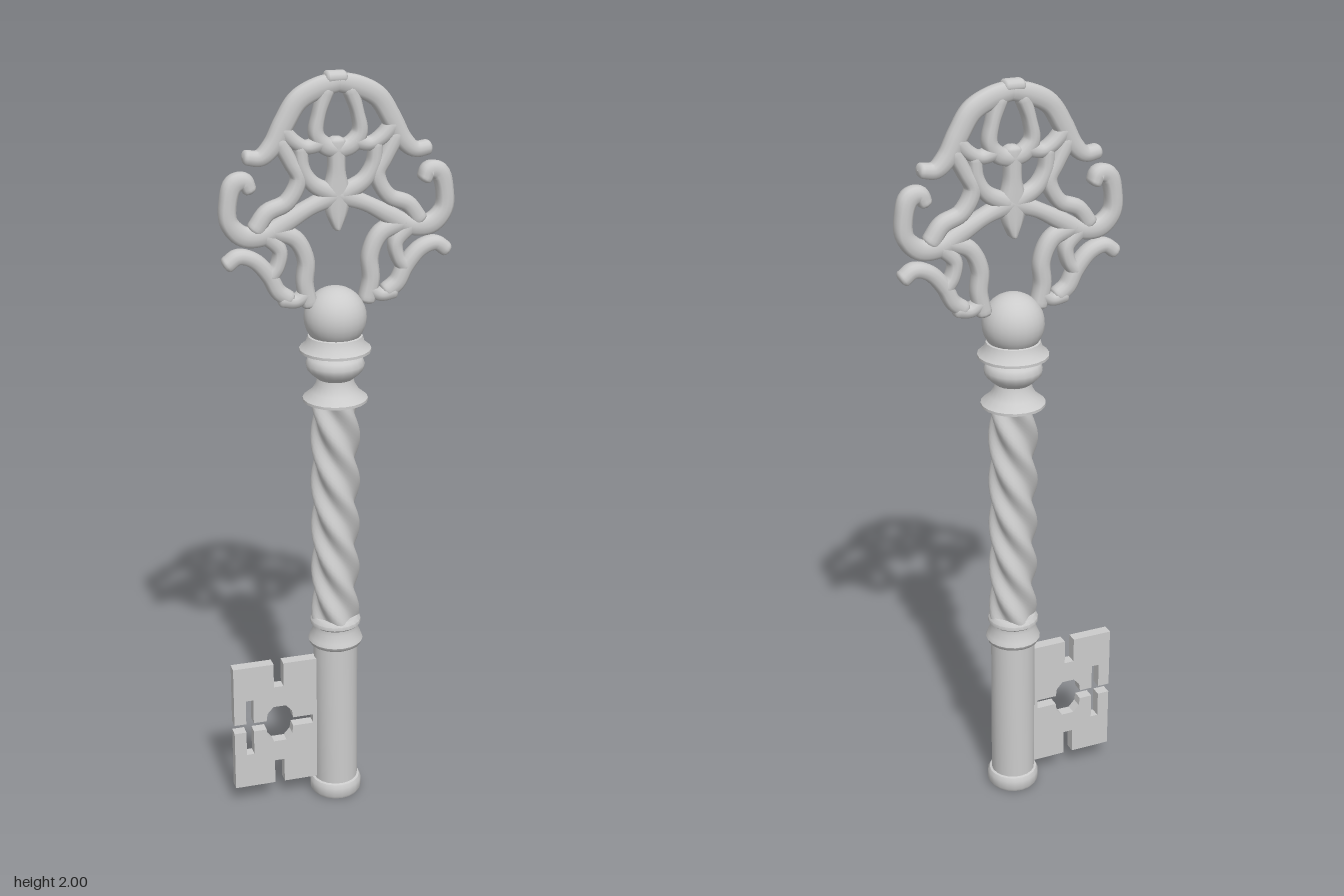
import * as THREE from 'three';
import { toCreasedNormals } from 'three/addons/utils/BufferGeometryUtils.js';

const material = new THREE.MeshStandardMaterial({ color: 0xcccccc, side: THREE.DoubleSide });
const AXIS = -0.01; // x of the shaft
const V2 = (x, y) => new THREE.Vector2(x, y);

function part(name, geometry, x = 0, y = 0, z = 0) {
  const m = new THREE.Mesh(geometry, material);
  m.name = name;
  m.position.set(x, y, z);
  return m;
}

function turned(name, profile) {
  const g = new THREE.LatheGeometry(profile.map(([r, y]) => V2(r, y)), 20);
  return part(name, toCreasedNormals(g, 0.7), AXIS);
}

// Builds a grid surface from rings of points
function loft(rings) {
  const n = rings[0].length, pos = [], idx = [];
  rings.forEach(r => r.forEach(p => pos.push(...p)));
  for (let i = 0; i < rings.length - 1; i++) {
    for (let j = 0; j < n; j++) {
      const a = i * n + j, b = i * n + (j + 1) % n;
      idx.push(a, b, a + n, b, b + n, a + n);
    }
  }
  const g = new THREE.BufferGeometry();
  g.setAttribute('position', new THREE.Float32BufferAttribute(pos, 3));
  g.setIndex(idx);
  g.computeVertexNormals();
  return g;
}

// Flat-backed scroll strand: points are [sideways, height, half width] in hundredths
const HALF_DEPTH = 0.0235;
function strand(points, side) {
  const curve = new THREE.CatmullRomCurve3(points.map(([x, y, w]) =>
    new THREE.Vector3(-0.003 + side * x / 100, y / 100, w / 100)));
  const steps = points.length * 5, rings = [];
  const ring = (p, t, k, push) => {
    const len = Math.hypot(t.x, t.y) || 1, tx = t.x / len, ty = t.y / len, out = [];
    for (let j = 0; j < 12; j++) {
      const a = j / 12 * Math.PI * 2, c = Math.cos(a), s = Math.sin(a);
      const u = Math.sign(c) * Math.abs(c) ** 0.8 * p.z * k;
      const v = Math.sign(s) * Math.abs(s) ** 0.7 * HALF_DEPTH * Math.sqrt(k);
      out.push([p.x - ty * u + tx * push, p.y + tx * u + ty * push, v]);
    }
    rings.push(out);
  };
  const ends = [[0.01, 0.5], [0.5, 0.43], [0.85, 0.25]];
  const p0 = curve.getPoint(0), t0 = curve.getTangent(0);
  const p1 = curve.getPoint(1), t1 = curve.getTangent(1);
  ends.forEach(([k, d]) => ring(p0, t0, k, -d * p0.z));
  for (let i = 0; i <= steps; i++) ring(curve.getPoint(i / steps), curve.getTangent(i / steps), 1, 0);
  ends.reverse().forEach(([k, d]) => ring(p1, t1, k, d * p1.z));
  return loft(rings);
}

const strands = {
  crownArch: [[0, 197.3, 2.4], [5, 196, 2.6], [10, 193.3, 2.6], [13.5, 188, 2.6], [16.4, 182.8, 2.4],
    [19.6, 180, 2], [23, 180.3, 1.8]],
  crownLoop: [[3, 195.5, 2], [4.8, 190, 1.6], [5.5, 185, 1.9], [3.2, 182, 2.2], [0, 181, 2.2]],
  crownTie: [[4, 183, 2], [8, 182, 1.7], [11, 183.5, 1.8], [14, 186.5, 2]],
  innerRib: [[9.5, 182, 1.7], [9, 177, 1.8], [6.5, 173, 2], [1, 170, 2.4]],
  outerRib: [[15, 184, 2], [12, 178.5, 1.9], [10, 174.5, 2], [13, 168.8, 2], [18, 166.5, 2.1], [21, 162.5, 2.2]],
  sideScroll: [[0, 170, 2.6], [7, 167.3, 2], [13, 164, 2.3], [18.5, 161, 2.5], [24, 161, 2.6], [27.5, 164.5, 2.3],
    [27.7, 169.5, 2.2], [26.2, 174, 2.4], [23.5, 174.7, 2.1], [22.3, 172.5, 1.8]],
  innerLeg: [[17, 162, 2.2], [11, 159.5, 2.2], [8.3, 154, 2.2], [8.6, 148, 2.2], [7.5, 142.7, 2.2]],
  outerLeg: [[28.3, 154.2, 1.9], [25.5, 156, 1.9], [21.5, 154.8, 2], [17.7, 150.6, 2.1], [15.5, 146.5, 2.1],
    [12.8, 144.4, 2.1]],
  legBranch: [[18.5, 161, 2.2], [15, 157, 1.9], [15.6, 153, 1.8], [17.5, 150.5, 2]],
  legFoot: [[14.5, 144.3, 1.9], [11, 143.7, 1.7], [8, 145.5, 1.8]],
};

// Half of the bit, measured from its horizontal slit; the other half mirrors it
const bitHalf = [[-0.06, 0], [-0.078, 0], [-0.078, 0.013], [-0.135, 0.013], [-0.138, 0.035], [-0.155, 0.054],
  [-0.19, 0.054], [-0.207, 0.035], [-0.21, 0.013], [-0.246, 0.013], [-0.246, 0.084], [-0.267, 0.084],
  [-0.267, 0.013], [-0.3, 0.013], [-0.3, 0.185], [-0.188, 0.185], [-0.188, 0.115], [-0.161, 0.115],
  [-0.161, 0.185], [-0.06, 0.185]];

export function createModel() {
  const key = new THREE.Group();
  key.name = 'key';

  // Hollow lower barrel with its rims
  key.add(turned('barrel', [[0, 0.12], [0.048, 0.12], [0.048, 0.008], [0.055, 0], [0.066, 0.003], [0.071, 0.012],
    [0.071, 0.036], [0.066, 0.046], [0.06, 0.048], [0.06, 0.462], [0.07, 0.468], [0.074, 0.478], [0.07, 0.488],
    [0.061, 0.51], [0.061, 0.522], [0.068, 0.528], [0.068, 0.538], [0.06, 0.548], [0, 0.55]]));

  // Twisted four-lobed stem
  const rings = [];
  for (let i = 0; i <= 60; i++) {
    const y = 0.54 + 0.63 * i / 60, ring = [];
    for (let j = 0; j < 32; j++) {
      const a = -j / 32 * Math.PI * 2;
      const r = 0.057 + 0.008 * Math.cos(4 * a - (y - 0.54) * Math.PI * 2 / 0.125);
      ring.push([r * Math.cos(a), y, r * Math.sin(a)]);
    }
    rings.push(ring);
  }
  key.add(part('twistedStem', loft(rings), AXIS));

  // Turned neck and ball below the bow
  key.add(turned('neck', [[0, 1.16], [0.084, 1.165], [0.084, 1.172], [0.062, 1.19], [0.05, 1.21], [0.047, 1.225],
    [0.06, 1.236], [0.073, 1.25], [0.076, 1.264], [0.07, 1.28], [0.055, 1.29], [0.06, 1.297], [0.092, 1.298],
    [0.092, 1.305], [0.076, 1.318], [0.07, 1.338], [0.05, 1.345], [0, 1.345]]));
  key.add(part('ball', new THREE.SphereGeometry(0.08, 24, 16), AXIS, 1.386));

  // Openwork bow
  const bow = new THREE.Group();
  bow.name = 'bow';
  for (const [name, points] of Object.entries(strands)) {
    for (const side of [1, -1]) bow.add(part(name + (side > 0 ? 'Left' : 'Right'), strand(points, side)));
  }
  bow.add(part('pendant', strand([[0, 183, 2.4], [0, 176, 2.2], [0, 170, 3.6], [0, 165, 2.6], [0, 161.5, 0.9]], 1), -0.004));
  bow.add(part('finial', strand([[-2, 198, 1.6], [2, 198, 1.6]], 1), -0.006, 0.004));
  key.add(bow);

  // Slotted bit
  const outline = [...bitHalf, ...bitHalf.slice(1).reverse().map(([x, y]) => [x, -y])];
  const bitShape = new THREE.Shape(outline.map(([x, y]) => V2(x, y)));
  const bit = new THREE.ExtrudeGeometry(bitShape, { depth: 0.03, bevelEnabled: false });
  key.add(part('bit', bit, 0, 0.241, -0.015));

  return key;
}
